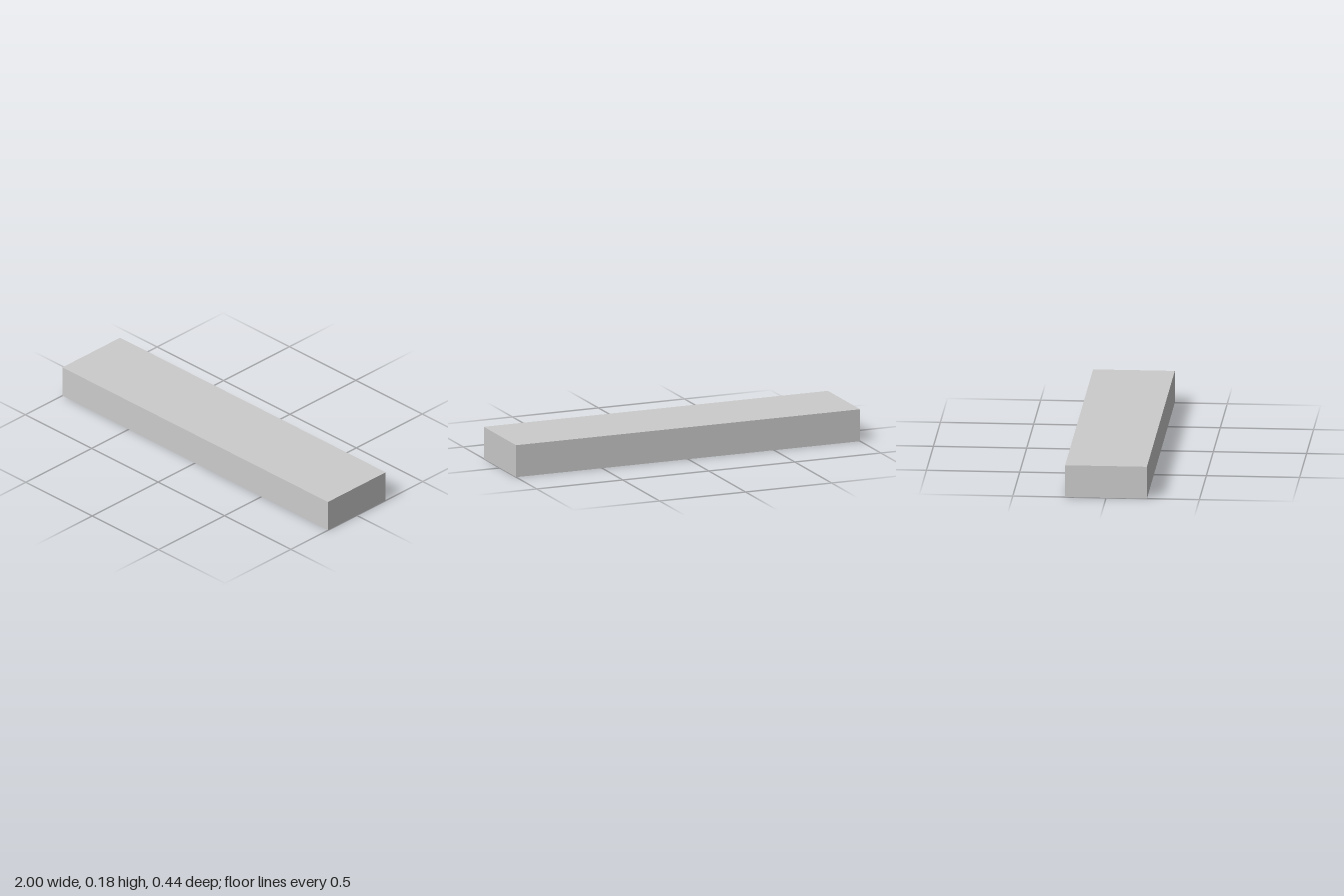
import * as THREE from 'three';

const W = 2, H = 0.176, D = 0.438;
const R = 0.096, SLOPE = 0.33, STEPS = 32;

// Each pocket: centre x, turn of its straight edge (degrees), offset of that edge from the centre
const POCKETS = [
  [-0.78, 37, 0.054],
  [-0.466, 27, 0.02],
  [-0.152, 24, 0.015],
  [0.163, 10, -0.036],
  [0.477, 9, -0.089],
];
const POCKET_Z = 0.01;

// Outline of a round pocket cut off by a straight edge, with the depth at each point
function pocketOutline([cx, turn, offset]) {
  const dir = THREE.MathUtils.degToRad(turn - 90);
  const half = Math.acos(offset / R);
  const points = [], depths = [];
  for (let i = 0; i <= STEPS; i++) {
    const rel = half + (2 * Math.PI - 2 * half) * (i / STEPS);
    points.push(new THREE.Vector2(cx + R * Math.cos(dir + rel), POCKET_Z + R * Math.sin(dir + rel)));
    depths.push(Math.max(0, SLOPE * (offset - R * Math.cos(rel))));
  }
  return { points, depths };
}

// Lay a shape drawn in x and z flat, facing down
function flatGeometry(shape) {
  return new THREE.ShapeGeometry(shape).rotateX(Math.PI / 2);
}

// Curved wall from the underside up to the sloping floor
function wallGeometry({ points, depths }) {
  const pos = [], index = [];
  points.forEach((p, i) => {
    pos.push(p.x, 0, p.y, p.x, depths[i], p.y);
    if (i < points.length - 1) {
      const a = 2 * i;
      index.push(a, a + 2, a + 1, a + 1, a + 2, a + 3);
    }
  });
  const g = new THREE.BufferGeometry();
  g.setAttribute('position', new THREE.Float32BufferAttribute(pos, 3));
  g.setIndex(index);
  g.computeVertexNormals();
  return g;
}

// Floor that rises from the straight edge to the far side
function floorGeometry({ points, depths }) {
  const g = flatGeometry(new THREE.Shape(points));
  const pos = g.attributes.position;
  for (let i = 0; i < pos.count; i++) {
    const k = points.findIndex(p => Math.hypot(p.x - pos.getX(i), p.y - pos.getZ(i)) < 1e-5);
    pos.setY(i, depths[Math.max(0, k)]);
  }
  g.computeVertexNormals();
  return g;
}

export function createModel() {
  const group = new THREE.Group();
  const solid = new THREE.MeshStandardMaterial({ color: 0xcccccc });
  const thin = new THREE.MeshStandardMaterial({ color: 0xcccccc, side: THREE.DoubleSide });
  const add = (name, geometry, material, parent = group) => {
    const mesh = new THREE.Mesh(geometry, material);
    mesh.name = name;
    parent.add(mesh);
  };

  // Bar: top and four sides, open below
  const bar = new THREE.BoxGeometry(W, H, D).translate(0, H / 2, 0);
  const faces = Array.from(bar.index.array);
  faces.splice(18, 6);
  bar.setIndex(faces);
  bar.clearGroups();
  add('bar', bar, solid);

  // Underside with the pocket openings
  const outlines = POCKETS.map(pocketOutline);
  const x = W / 2, z = D / 2;
  const underside = new THREE.Shape([
    new THREE.Vector2(-x, -z), new THREE.Vector2(x, -z),
    new THREE.Vector2(x, z), new THREE.Vector2(-x, z),
  ]);
  outlines.forEach(o => underside.holes.push(new THREE.Path(o.points)));
  add('underside', flatGeometry(underside), solid);

  // Slanted pockets
  outlines.forEach((o, i) => {
    const pocket = new THREE.Group();
    pocket.name = `pocket${i + 1}`;
    add('pocketWall', wallGeometry(o), thin, pocket);
    add('pocketFloor', floorGeometry(o), thin, pocket);
    group.add(pocket);
  });

  return group;
}
